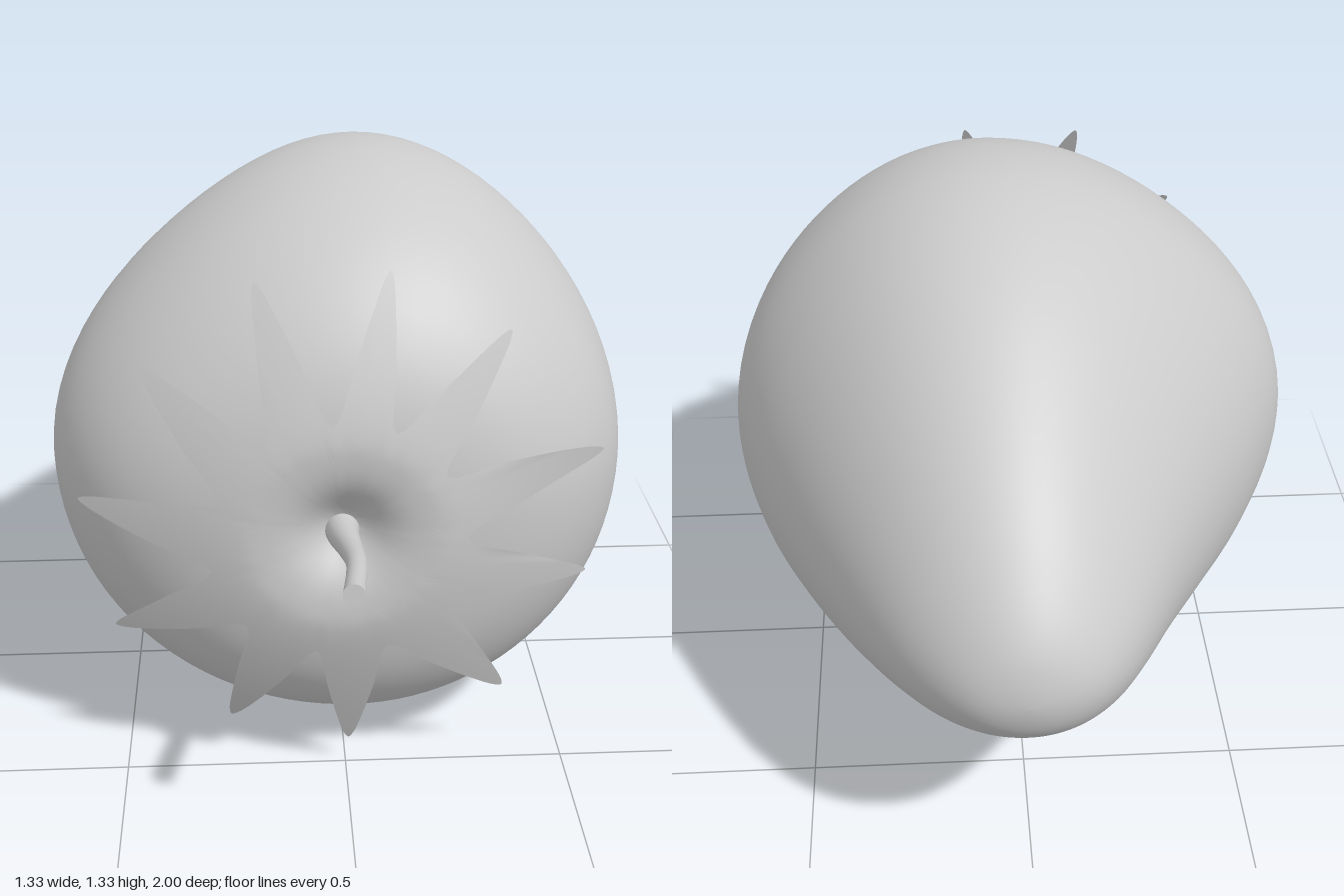
import * as THREE from 'three';

const V = (x, y, z) => new THREE.Vector3(x, y, z);

// Skin closed rings of points (counter-clockwise seen along the path's end)
function loft(name, rings, side = THREE.FrontSide) {
  const n = rings[0].length, index = [];
  for (let i = 0; i < rings.length - 1; i++) {
    for (let j = 0; j < n; j++) {
      const k = (j + 1) % n;
      const a = i * n + j, b = i * n + k, c = b + n, d = a + n;
      index.push(a, b, d, b, c, d);
    }
  }
  const geometry = new THREE.BufferGeometry().setFromPoints(rings.flat());
  geometry.setIndex(index);
  geometry.computeVertexNormals();
  const mesh = new THREE.Mesh(geometry, new THREE.MeshStandardMaterial({ color: 0xcccccc, side }));
  mesh.name = name;
  return mesh;
}

// Fruit: [z, right-hand reach, left-hand reach, up, down] from the core line
function makeFruit() {
  const stations = [
    [-0.985, -0.085, -0.09, -0.082, -0.07], // mirrored point, rounds the tip
    [-1, 0, 0, 0, 0], [-0.985, 0.085, 0.09, 0.082, 0.07], [-0.95, 0.15, 0.155, 0.15, 0.125],
    [-0.88, 0.215, 0.23, 0.235, 0.19], [-0.78, 0.275, 0.305, 0.33, 0.258], [-0.6, 0.367, 0.41, 0.46, 0.372],
    [-0.4, 0.48, 0.51, 0.575, 0.482], [-0.2, 0.592, 0.592, 0.645, 0.578], [0, 0.672, 0.64, 0.667, 0.646],
    [0.2, 0.676, 0.632, 0.637, 0.656], [0.35, 0.625, 0.592, 0.572, 0.6], [0.47, 0.535, 0.505, 0.475, 0.52],
    [0.55, 0.41, 0.39, 0.36, 0.41], [0.593, 0.26, 0.25, 0.24, 0.26], [0.599, 0.17, 0.17, 0.17, 0.17],
    [0.57, 0.09, 0.09, 0.09, 0.09], [0.5, 0, 0, 0, 0],
  ];
  const curves = [1, 2, 3, 4].map(k => new THREE.CatmullRomCurve3(stations.map(s => V(s[0], s[k], 0))));
  const flatten = [0.035, 0.04, -0.005, -0.005]; // squash of the diagonals, per quadrant
  const perSpan = 6, steps = (stations.length - 1) * perSpan, sides = 96, rings = [];
  for (let i = perSpan; i <= steps; i++) {
    const [neg, pos, up, down] = curves.map(c => c.getPoint(i / steps));
    rings.push(Array.from({ length: sides }, (_, j) => {
      const a = j / sides * Math.PI * 2, c = Math.cos(a), s = Math.sin(a);
      const f = 1 - flatten[Math.floor(j / sides * 4)] * Math.sin(2 * a) ** 2;
      const h = c > 0 ? pos : neg, v = s > 0 ? up : down;
      const lean = 0.05 * Math.max(0, s) ** 2 * v.y; // crown leans to the left-hand side
      return V(0.02 + c * f * h.y + lean, 0.66 + s * f * v.y, c * c * h.x + s * s * v.x);
    }));
  }
  return loft('fruit', rings);
}

// Leafy cap: each row is a notch [x, y] followed by its leaf tip [x, y, lift]
function makeCap() {
  const leaves = [
    [-0.035, 0.9, -0.19, 1.175, 0.02], [-0.17, 0.855, -0.43, 0.99, 0], [-0.273, 0.73, -0.575, 0.685, 0],
    [-0.29, 0.57, -0.51, 0.37, 0], [-0.22, 0.433, -0.26, 0.12, 0], [-0.07, 0.37, 0.007, 0.064, 0.02],
    [0.085, 0.38, 0.355, 0.195, 0.02], [0.21, 0.49, 0.533, 0.48, 0], [0.25, 0.64, 0.536, 0.816, 0.08],
    [0.2, 0.785, 0.34, 1.065, 0.02], [0.095, 0.883, 0.09, 1.19, 0],
  ];
  const flank = [[0.4, 0.65], [0.75, 0.35], [0.95, 0.13]]; // [way to tip, width]
  const outline = leaves.flatMap(([nx, ny, tx, ty, lift], i) => {
    const next = leaves[(i + 1) % leaves.length];
    const a = V(nx, ny, lift), b = V(next[0], next[1], lift), tip = V(tx, ty, lift);
    const base = a.clone().lerp(b, 0.5);
    const edgePoint = (notch, [t, w]) => base.clone().lerp(tip, t).addScaledVector(notch.clone().sub(base), w);
    return [a, ...flank.map(f => edgePoint(a, f)), tip, ...flank.map(f => edgePoint(b, f)).reverse()];
  });
  const edge = new THREE.CatmullRomCurve3(outline, true).getPoints(outline.length * 4).slice(0, -1);
  const cx = -0.01, cy = 0.65, steps = 32, rings = [];
  for (let i = 0; i <= steps; i++) {
    const t = 1 - i / steps;
    rings.push(edge.map(p => {
      const x = (p.x - cx) * t, y = (p.y - cy) * t, r = Math.hypot(x, y);
      // Droops towards the tips, with a dimple round the stem; some tips curl up
      const droop = 0.61 * Math.max(0, r - 0.2) ** 1.4;
      const dimple = 0.075 * Math.exp(-((r / 0.09) ** 2));
      const curl = p.z * (Math.max(0, r - 0.26) / 0.3) ** 2;
      return V(cx + x, cy + y, 0.635 - droop - dimple + curl);
    }));
  }
  return loft('leafCap', rings, THREE.DoubleSide);
}

// Stem: bent, tapering, cut flat at the end
function makeStem() {
  const path = new THREE.CatmullRomCurve3([
    V(-0.012, 0.63, 0.51), V(-0.012, 0.643, 0.6), V(-0.003, 0.663, 0.7),
    V(0.002, 0.693, 0.82), V(-0.014, 0.725, 0.997),
  ]);
  const steps = 32, sides = 24, rings = [];
  const ring = (t, radius) => {
    const p = path.getPoint(t), dir = path.getTangent(t);
    const right = V(0, 1, 0).cross(dir).normalize(), up = dir.clone().cross(right);
    rings.push(Array.from({ length: sides }, (_, j) => {
      const a = j / sides * Math.PI * 2;
      return p.clone().addScaledVector(right, Math.cos(a) * radius).addScaledVector(up, Math.sin(a) * radius);
    }));
  };
  for (let i = 0; i <= steps; i++) {
    const t = i / steps;
    ring(t, 0.019 + 0.026 * (1 - t) ** 2 + 0.003 * t ** 6);
  }
  ring(1, 0.022); // doubled ring keeps the cut edge sharp
  ring(1, 0);
  return loft('stem', rings);
}

export function createModel() {
  const group = new THREE.Group();
  group.name = 'berry';
  group.add(makeFruit(), makeCap(), makeStem());
  return group;
}
